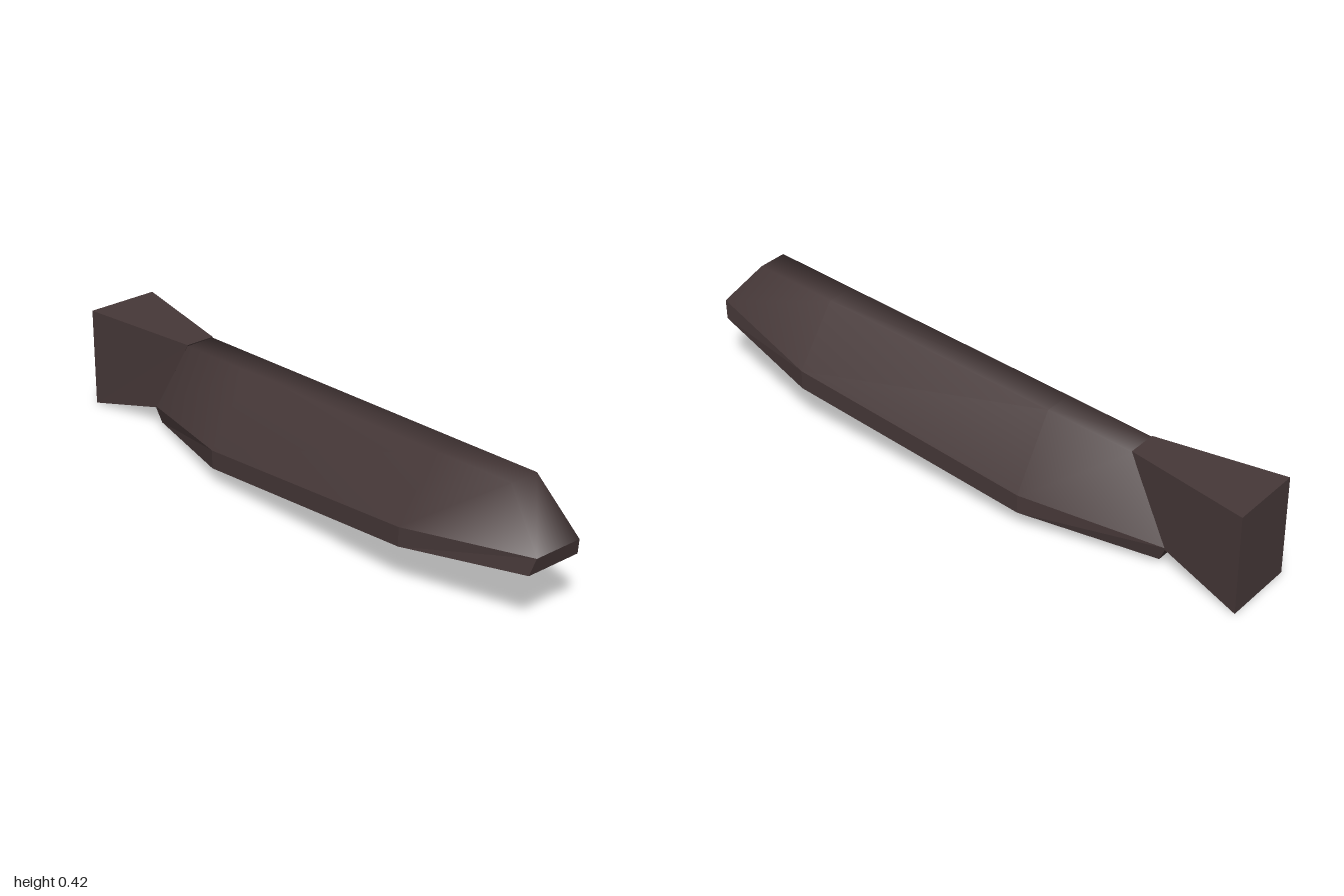
import * as THREE from 'three';

// Mirrors the +x half of an outline [x, y, z] (front to back) into a closed loop
function ring(half) {
  return [...half, ...half.map(([x, y, z]) => [-x, y, z]).reverse()];
}

// Joins successive rings with quads; optional caps close the first and last ring
function loft(rings, { smooth = false, capFirst = false, capLast = false } = {}) {
  const n = rings[0].length;
  const index = [];
  for (let r = 0; r < rings.length - 1; r++) {
    for (let i = 0; i < n; i++) {
      const j = (i + 1) % n;
      const a = r * n + i, b = r * n + j, c = a + n, d = b + n;
      index.push(a, b, d, a, d, c);
    }
  }
  // Caps are strips between mirrored points, so they stay symmetric
  const cap = (start, flip) => {
    for (let i = 0; i < n / 2 - 1; i++) {
      const a = start + i, b = a + 1, c = start + n - 2 - i, d = c + 1;
      if (flip) index.push(a, c, b, a, d, c);
      else index.push(a, b, c, a, c, d);
    }
  };
  if (capFirst) cap(0, true);
  if (capLast) cap((rings.length - 1) * n, false);
  let g = new THREE.BufferGeometry();
  g.setAttribute('position', new THREE.Float32BufferAttribute(rings.flat(2), 3));
  g.setIndex(index);
  if (!smooth) g = g.toNonIndexed();
  g.computeVertexNormals();
  return g;
}

export function createModel() {
  const housing = new THREE.MeshStandardMaterial({ name: 'dark brown housing', color: 0x463838 });
  const glass = new THREE.MeshStandardMaterial({ name: 'pale grey glass', color: 0xd0d0d0 });
  const group = new THREE.Group();
  group.name = 'streetLampHead';
  const add = (name, geometry, material) => {
    const mesh = new THREE.Mesh(geometry, material);
    mesh.name = name;
    group.add(mesh);
  };

  // Outlines of the tilted head, from front to back
  const roofTop = ring([[0.05, 0.427, 0.86], [0.05, 0.408, 0.57], [0.05, 0.354, -0.28], [0.05, 0.335, -0.58]]);
  const rimTop = ring([[0.083, 0.265, 1], [0.193, 0.22, 0.57], [0.193, 0.128, -0.28], [0.077, 0.078, -0.73]]);
  const rimBottom = ring([[0.095, 0.209, 0.985], [0.193, 0.157, 0.57], [0.193, 0.066, -0.28], [0.07, 0.024, -0.705]]);
  const under = (x, z, drop) => [x, 0.098 + 0.108 * z - drop, z];
  const lensEdge = ring([under(0.08, 0.96, 0), under(0.17, 0.55, 0), under(0.17, -0.26, 0), under(0.055, -0.675, 0)]);
  const lensFace = ring([under(0.065, 0.85, 0.01), under(0.145, 0.49, 0.012), under(0.145, -0.22, 0.012), under(0.045, -0.56, 0.01)]);

  // Smooth roof, faceted rim, dark lip and slightly bulging lens
  add('roof', loft([rimTop, roofTop], { smooth: true, capLast: true }), housing);
  add('rim', loft([rimBottom, rimTop]), housing);
  add('rimLip', loft([lensEdge, rimBottom]), housing);
  add('lens', loft([lensFace, lensEdge], { smooth: true, capFirst: true }), glass);

  // Flared neck at the back that meets the pole
  const neckBottom = ring([[0.077, 0.075, -0.72], [0.122, 0.003, -1]]);
  const neckTop = ring([[0.05, 0.338, -0.58], [0.122, 0.338, -1]]);
  add('neck', loft([neckBottom, neckTop], { capFirst: true, capLast: true }), housing);

  return group;
}
